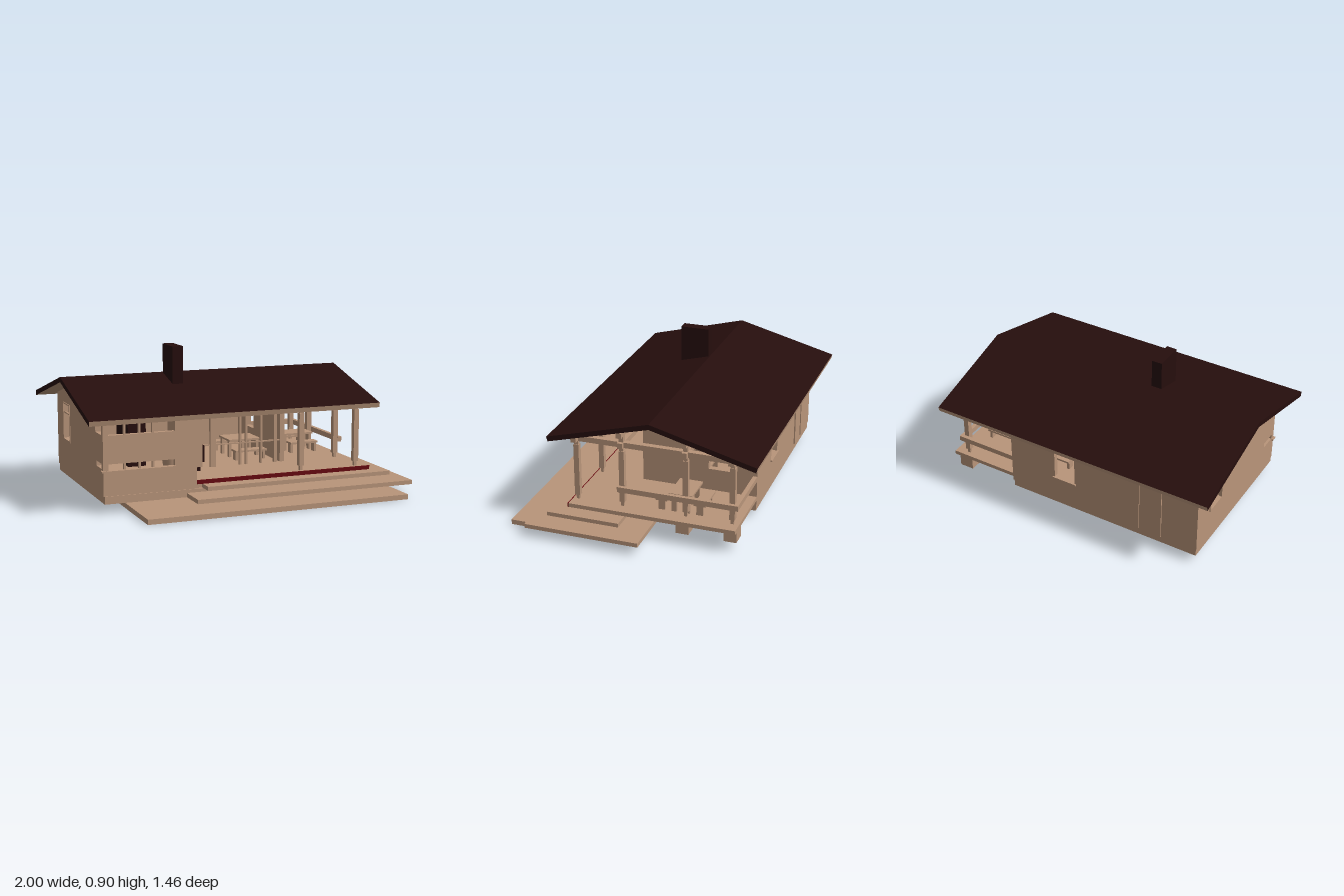
import * as THREE from 'three';

export function createModel() {
  const model = new THREE.Group();
  const material = (name, color) => {
    const m = new THREE.MeshStandardMaterial({ color });
    m.name = name;
    return m;
  };
  const wood = material('wood', 0xb9957a);
  const dark = material('darkRoofing', 0x260e0d);
  const red = material('redTrim', 0x660a10);

  const add = (name, geometry, mat = wood) => {
    const mesh = new THREE.Mesh(geometry, mat);
    mesh.name = name;
    model.add(mesh);
    return mesh;
  };
  // Box given by its low and high limits on each axis
  const box = (name, x0, x1, y0, y1, z0, z1, mat = wood) => {
    const mesh = add(name, new THREE.BoxGeometry(x1 - x0, y1 - y0, z1 - z0), mat);
    mesh.position.set((x0 + x1) / 2, (y0 + y1) / 2, (z0 + z1) / 2);
    return mesh;
  };
  // Flat wall with rectangular holes [u0, u1, y0, y1]
  const wall = (name, outline, holes, depth) => {
    const shape = new THREE.Shape(outline.map(p => new THREE.Vector2(...p)));
    for (const [a, b, c, d] of holes) {
      shape.holes.push(new THREE.Path([[a, c], [a, d], [b, d], [b, c]].map(p => new THREE.Vector2(...p))));
    }
    return add(name, new THREE.ExtrudeGeometry(shape, { depth, bevelEnabled: false }));
  };
  // Wall facing along x; outline and holes are given in (-z, y)
  const sideWall = (name, x, outline, holes, depth = 0.03) => {
    const mesh = wall(name, outline, holes, depth);
    mesh.rotation.y = Math.PI / 2;
    mesh.position.x = x;
  };
  const rect = (a, b, c, d) => [[a, c], [b, c], [b, d], [a, d]];

  // Terraced steps, foundation, floor and deck
  box('lowerStep', -0.735, 0.895, 0, 0.03, 0.04, 0.73);
  box('middleStep', -0.39, 1.0, 0.055, 0.08, -0.1, 0.595);
  box('upperStep', -0.29, 0.9, 0.102, 0.126, 0.055, 0.495);
  box('foundation', -0.885, 0.365, 0.055, 0.1, -0.605, 0.41);
  box('floor', -0.87, 0.365, 0.1, 0.148, -0.59, 0.39);
  box('deck', -0.325, 0.805, 0.126, 0.15, -0.61, 0.402);
  box('deckTrim', -0.325, 0.805, 0.126, 0.15, 0.402, 0.408, red);
  for (const z of [-0.285, -0.57]) box('deckFoot', 0.68, 0.77, 0.055, 0.126, z - 0.038, z + 0.038);

  // Front wall with two ribbon openings that turn the corner
  wall('frontWall', rect(-0.89, -0.325, 0.1, 0.565),
    [[-0.875, -0.46, 0.45, 0.525], [-0.875, -0.46, 0.245, 0.285]], 0.03).position.z = 0.375;
  for (const x of [-0.76, -0.67, -0.59]) {
    box('ribbonPost', x - 0.006, x + 0.006, 0.45, 0.525, 0.38, 0.4);
    box('ribbonPost', x - 0.006, x + 0.006, 0.245, 0.285, 0.38, 0.4);
  }
  box('ribbonLedge', -0.9, -0.455, 0.238, 0.247, 0.38, 0.416);

  // Back wall with a window and a closed door
  wall('backWall', rect(-0.89, 0.37, 0.1, 0.565), [[-0.075, 0.063, 0.25, 0.515]], 0.03).position.z = -0.61;
  const doorFrame = (x0, x1, y0, y1) => box('backDoorFrame', x0, x1, y0, y1, -0.618, -0.6);
  doorFrame(-0.66, -0.645, 0.105, 0.485);
  doorFrame(-0.515, -0.5, 0.105, 0.485);
  doorFrame(-0.645, -0.515, 0.47, 0.485);
  box('backDoor', -0.645, -0.515, 0.105, 0.47, -0.612, -0.6);
  box('backMullion', -0.075, 0.063, 0.437, 0.447, -0.605, -0.59);
  box('backSill', -0.085, 0.073, 0.24, 0.25, -0.62, -0.58);

  // Gable walls under the roof slopes
  sideWall('leftEndGable', -0.89,
    [[-0.405, 0.1], [0.61, 0.1], [0.61, 0.56], [0.1, 0.69], [-0.405, 0.56]],
    [[0.31, 0.46, 0.29, 0.51], [-0.39, -0.255, 0.45, 0.51], [-0.39, -0.27, 0.255, 0.285]]);
  sideWall('porchGable', 0.34,
    [[-0.1, 0.1], [0.61, 0.1], [0.61, 0.56], [0.1, 0.69], [-0.1, 0.64]],
    [[0.315, 0.45, 0.29, 0.51]]);
  sideWall('entryWall', -0.355,
    [[-0.4, 0.1], [-0.18, 0.1], [-0.18, 0.615], [-0.4, 0.56]],
    [[-0.31, -0.185, 0.18, 0.5]]);

  // Side window frames
  for (const x of [-0.895, 0.36]) {
    box('windowSill', x, x + 0.018, 0.28, 0.29, -0.46, -0.305);
    box('windowHead', x, x + 0.018, 0.51, 0.518, -0.46, -0.305);
    box('windowBar', x + 0.005, x + 0.015, 0.452, 0.46, -0.455, -0.31);
    for (const z of [-0.455, -0.31]) box('windowJamb', x, x + 0.018, 0.29, 0.51, z - 0.005, z + 0.005);
  }

  // Glazed porch wall: posts, head and rails
  box('glazingHead', -0.206, 0.36, 0.525, 0.56, 0.075, 0.105);
  for (const [x, w] of [[-0.105, 0.018], [0.075, 0.006], [0.115, 0.006], [0.215, 0.006], [0.31, 0.01]]) {
    box('glazingPost', x - w, x + w, 0.15, 0.525, 0.08, 0.1);
  }
  box('glazingRail', -0.206, 0.34, 0.282, 0.29, 0.084, 0.096);

  // Chimney, its clad core and dark interior block
  box('chimney', -0.36, -0.295, 0.5, 0.9, -0.09, 0.09, dark);
  box('chimneyCore', -0.325, -0.215, 0.1, 0.62, -0.09, 0.172, dark);
  box('coreCladding', -0.33, -0.206, 0.175, 0.56, -0.1, 0.18);
  box('hearth', -0.206, -0.185, 0.2, 0.3, -0.08, 0.16, dark);
  box('innerBlock', -0.585, -0.47, 0.148, 0.53, -0.335, -0.1, dark);

  // Roof slabs: dark on top and ends, wood below and at the eaves
  const roofMaterials = [dark, dark, dark, wood, wood, wood];
  for (const [side, run] of [[1, 0.625], [-1, 0.63]]) {
    const drop = 0.167, length = Math.hypot(run, drop);
    const geometry = new THREE.BoxGeometry(1.805, 0.03, length);
    geometry.translate(0, -0.015, side * length / 2);
    const slab = add('roofSlope', geometry, roofMaterials);
    slab.rotation.x = side * Math.atan2(drop, run);
    slab.position.set(-0.0975, 0.725, -0.1);
  }

  // Porch columns with a narrow foot and a wider capital
  const column = (x, z) => {
    box('column', x - 0.016, x + 0.016, 0.178, 0.5, z - 0.016, z + 0.016);
    box('columnFoot', x - 0.009, x + 0.009, 0.15, 0.178, z - 0.009, z + 0.009);
    box('columnCapital', x - 0.012, x + 0.012, 0.5, 0.53, z - 0.012, z + 0.012);
  };
  for (const z of [0.372, 0.093, -0.292, -0.57]) column(0.722, z);
  column(0.355, 0.372);

  // Beams, short upper posts and purlins
  box('sideBeam', 0.705, 0.74, 0.527, 0.56, -0.61, 0.405);
  box('innerBeam', 0.338, 0.372, 0.527, 0.56, 0.1, 0.405);
  for (const z of [0.372, -0.57]) box('eaveBeam', z > 0 ? -0.325 : 0.36, 0.775, 0.53, 0.562, z - 0.016, z + 0.016);
  for (const z of [0.093, -0.292]) {
    box('upperPost', 0.707, 0.738, 0.56, 0.6, z - 0.014, z + 0.014);
    box('purlin', 0.36, 0.775, 0.597, 0.63, z - 0.016, z + 0.016);
    box('tieBeam', 0.36, 0.76, 0.527, 0.56, z - 0.016, z + 0.016);
  }

  // Porch railing along the side and back
  box('sideRail', 0.735, 0.76, 0.25, 0.282, -0.61, 0.115);
  box('backRail', 0.365, 0.76, 0.25, 0.282, -0.61, -0.585);

  // Tables and benches on the porch and indoors
  const table = (name, x0, x1, z0, z1, top) => {
    box(name + 'Top', x0, x1, top - 0.012, top, z0, z1);
    for (const x of [x0 + 0.012, x1 - 0.012]) {
      for (const z of [z0 + 0.03, z1 - 0.03]) {
        box(name + 'Leg', x - 0.008, x + 0.008, 0.148, top - 0.012, z - 0.015, z + 0.015);
      }
    }
  };
  table('porchTable', 0.5, 0.7, -0.32, -0.18, 0.265);
  table('porchBench', 0.51, 0.7, -0.4, -0.33, 0.22);
  table('porchBench', 0.51, 0.7, -0.17, -0.1, 0.22);
  table('diningTable', 0.09, 0.3, -0.3, -0.12, 0.265);
  table('diningBench', 0.09, 0.3, -0.08, -0.01, 0.215);
  table('diningBench', 0.09, 0.3, -0.42, -0.35, 0.215);

  // Tub and shelf behind the entry
  const tub = add('tub', new THREE.CylinderGeometry(0.055, 0.042, 0.09, 20));
  tub.position.set(-0.43, 0.223, 0.25);
  box('tubShelf', -0.68, -0.5, 0.35, 0.372, 0.17, 0.265);
  return model;
}
